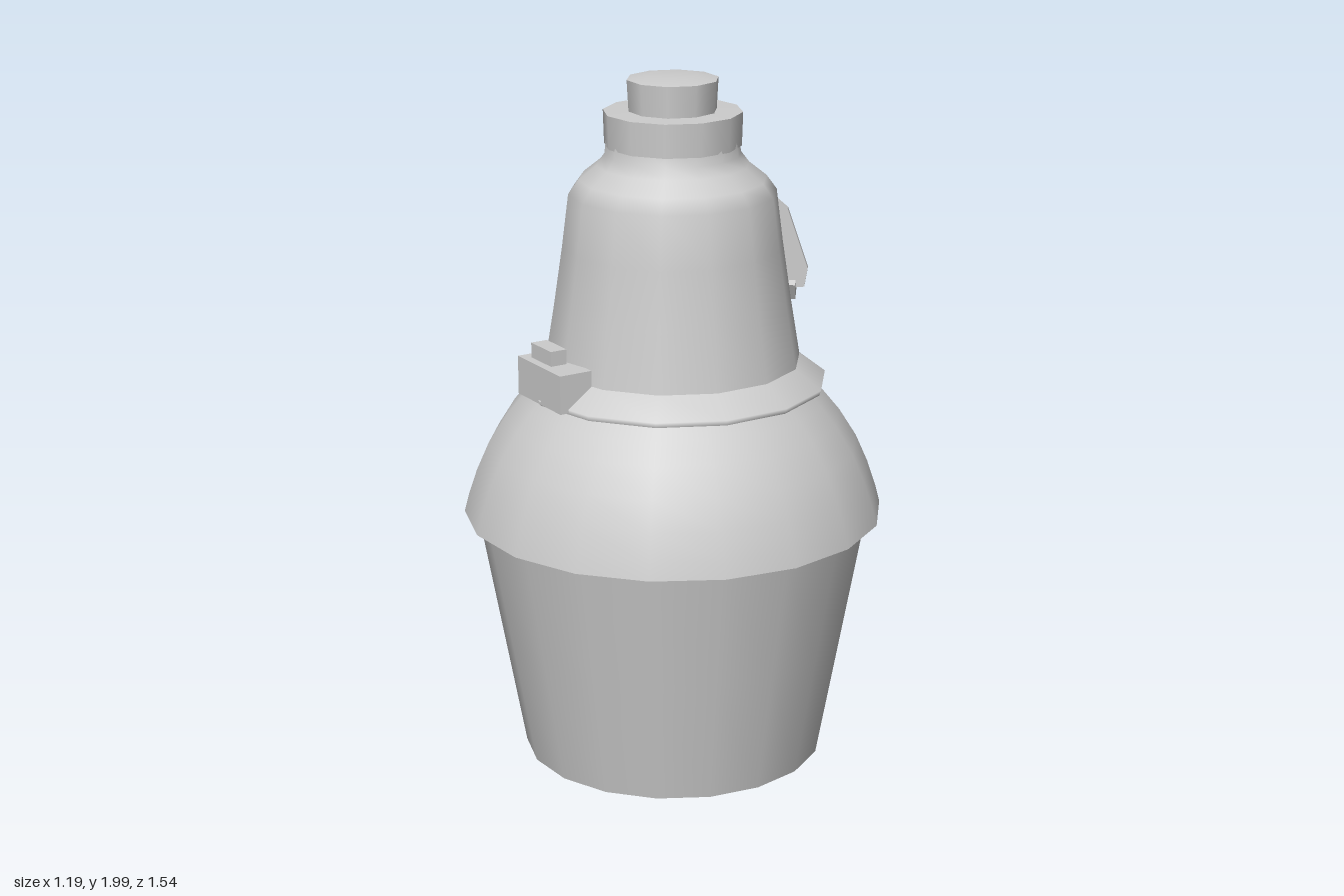
import * as THREE from 'three';

const AXIS_Z = 0.165; // the lamp body stands forward of the bracket

export function createModel() {
  const model = new THREE.Group();
  const metal = new THREE.MeshStandardMaterial({ color: 0xcccccc, side: THREE.DoubleSide });
  metal.name = 'light grey';

  const add = (name, geometry, x = 0, y = 0, z = 0, parent = model) => {
    const mesh = new THREE.Mesh(geometry, metal);
    mesh.name = name;
    mesh.position.set(x, y, z);
    parent.add(mesh);
    return mesh;
  };
  const turned = (name, sides, points) =>
    add(name, new THREE.LatheGeometry(points.map(p => new THREE.Vector2(...p)), sides), 0, 0, AXIS_Z);

  // Open-bottomed lens, tapering downwards
  turned('lens', 18, [[0.435, 0.01], [0.5, 0.37], [0.565, 0.73]]);

  // Bell-shaped reflector with its thin rim
  turned('reflector', 18, [[0.603, 0.735], [0.59, 0.785], [0.565, 0.86], [0.53, 0.94],
    [0.48, 1.02], [0.435, 1.075], [0.4, 1.115]]);
  turned('reflectorRim', 18, [[0.56, 0.728], [0.603, 0.735]]);

  // Housing: flared skirt, tapering wall and rounded shoulder
  turned('skirtUnderside', 14, [[0.37, 1.115], [0.435, 1.115]]);
  turned('skirt', 14, [[0.435, 1.115], [0.44, 1.13], [0.365, 1.185]]);
  turned('housing', 14, [[0.365, 1.185], [0.338, 1.35], [0.313, 1.52], [0.294, 1.67],
    [0.265, 1.71], [0.215, 1.75], [0.192, 1.78], [0.186, 1.83]]);

  // Collar and photocell cap
  turned('collarUnderside', 12, [[0.17, 1.805], [0.193, 1.805]]);
  turned('collar', 12, [[0.193, 1.805], [0.196, 1.9]]);
  turned('collarTop', 12, [[0.196, 1.9], [0.12, 1.902]]);
  turned('cap', 10, [[0.125, 1.9], [0.13, 1.99]]);
  turned('capTop', 10, [[0.13, 1.99], [0.07, 2], [0, 2]]);

  // Hollow arched arm, flaring where it meets the housing: [z, halfWidth, bottom, top]
  const sections = [[-0.66, 0.213, 1.195, 1.46], [-0.42, 0.215, 1.195, 1.46],
    [-0.24, 0.222, 1.195, 1.46], [-0.17, 0.25, 1.14, 1.455], [0.02, 0.27, 1.13, 1.44]];
  const steps = 12, vertices = [], faces = [];
  sections.forEach(([z, w, bottom, top], i) => {
    for (let j = 0; j <= steps; j++) {
      const a = Math.PI * j / steps;
      vertices.push(w * Math.cos(a), bottom + (top - bottom) * Math.pow(Math.sin(a), 0.9), z);
      if (i && j) {
        const p = i * (steps + 1) + j, q = p - steps - 1;
        faces.push(q - 1, p - 1, q, p - 1, p, q);
      }
    }
  });
  const armGeometry = new THREE.BufferGeometry();
  armGeometry.setAttribute('position', new THREE.Float32BufferAttribute(vertices, 3));
  armGeometry.setIndex(faces);
  armGeometry.computeVertexNormals();
  add('arm', armGeometry);

  // Thin arched mounting flange at the end of the arm
  const right = [[0.325, 1.18], [0.335, 1.24], [0.27, 1.43], [0.14, 1.54], [0, 1.565]];
  const inner = [[0, 1.455], [0.12, 1.42], [0.19, 1.34], [0.22, 1.2], [0.24, 1.17]];
  const flip = list => list.slice(0).reverse().map(([x, y]) => [-x, y]);
  const outline = [...right, ...flip(right).slice(1), ...flip(inner), ...inner.slice(1)];
  add('mountingFlange', new THREE.ExtrudeGeometry(
    new THREE.Shape(outline.map(p => new THREE.Vector2(...p))), { depth: 0.022, bevelEnabled: false }),
  0, 0, -0.677);

  // Locating peg on top of the flange
  add('topPeg', new THREE.BoxGeometry(0.03, 0.025, 0.085), 0, 1.552, -0.672);

  // Fixings mirrored on both sides
  for (const s of [-1, 1]) {
    const foot = add('flangeFoot', new THREE.BoxGeometry(0.055, 0.06, 0.05), s * 0.27, 1.175, -0.67);
    foot.rotation.x = 0.5;
    const hook = add('flangeHook', new THREE.ConeGeometry(0.02, 0.1, 4), s * 0.265, 1.215, -0.715);
    hook.rotation.x = -1;
    const bolt = add('clampBolt', new THREE.CylinderGeometry(0.016, 0.016, 0.11, 8), s * 0.24, 1.222, -0.42);
    const nut = add('clampNut', new THREE.CylinderGeometry(0.035, 0.035, 0.035, 6), s * 0.24, 1.195, -0.425);
    bolt.rotation.y = nut.rotation.y = s * 0.2;

    // Bent prongs of the pole grip
    const prong = new THREE.CatmullRomCurve3([[0.09, 1.2, -0.62], [0.07, 1.17, -0.69], [0.12, 1.22, -0.77]]
      .map(([x, y, z]) => new THREE.Vector3(s * x, y, z)));
    add('gripProng', new THREE.TubeGeometry(prong, 5, 0.012, 4));
  }
  const tooth = add('gripTooth', new THREE.ConeGeometry(0.03, 0.08, 4), 0, 1.165, -0.67);
  tooth.rotation.x = Math.PI;

  // Curved strap beneath the arm
  const strap = new THREE.QuadraticBezierCurve3(new THREE.Vector3(-0.24, 1.205, -0.42),
    new THREE.Vector3(0, 1.27, -0.42), new THREE.Vector3(0.24, 1.205, -0.42));
  add('clampStrap', new THREE.TubeGeometry(strap, 8, 0.02, 6));

  // Latch standing on the skirt
  const latch = new THREE.Group();
  latch.name = 'latch';
  latch.position.set(-0.305, 0, 0.405);
  latch.rotation.y = -0.9;
  model.add(latch);
  add('latchBlock', new THREE.BoxGeometry(0.235, 0.11, 0.1), 0, 1.175, 0, latch);
  add('latchButton', new THREE.BoxGeometry(0.11, 0.045, 0.05), -0.03, 1.25, 0, latch);

  return model;
}
